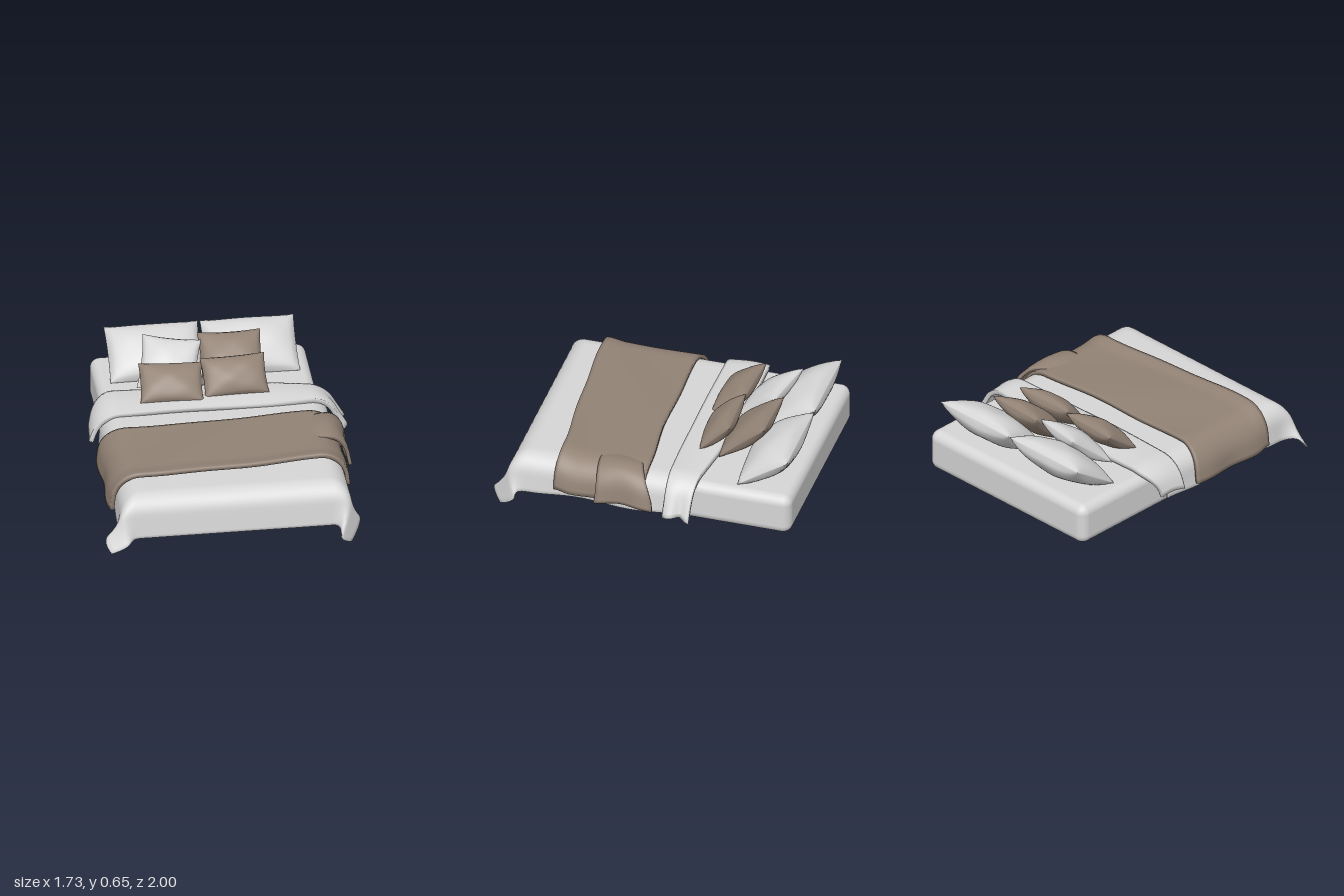
import * as THREE from 'three';
import { mergeVertices } from 'three/addons/utils/BufferGeometryUtils.js';
import { RoundedBoxGeometry } from 'three/addons/geometries/RoundedBoxGeometry.js';

const lerp = THREE.MathUtils.lerp;
const smooth = THREE.MathUtils.smoothstep;

// Shared vertices give smooth cloth normals
function soften(geo) {
  geo.deleteAttribute('uv');
  geo.deleteAttribute('normal');
  const merged = mergeVertices(geo, 1e-5);
  merged.computeVertexNormals();
  return merged;
}

// Cloth running flat to `flat`, rolling over an edge, then hanging at `angle`: returns [out, drop]
function drape(d, flat, r, angle) {
  const e = Math.abs(d) - flat;
  if (e <= 0) return [d, 0];
  const th = Math.min(e / r, angle);
  const rest = Math.max(0, e - r * angle);
  const out = flat + r * Math.sin(th) + rest * Math.cos(angle);
  return [Math.sign(d) * out, r * (1 - Math.cos(th)) + rest * Math.sin(angle)];
}

// Thick sheet following fn(u, v) with u, v in 0..1
function sheet(fn, thick, nu, nv) {
  const geo = new THREE.BoxGeometry(1, 1, 1, nu, 1, nv);
  const pos = geo.attributes.position;
  const at = (u, v) => new THREE.Vector3(...fn(u, v));
  const h = 0.002;
  for (let i = 0; i < pos.count; i++) {
    const u = pos.getX(i) + 0.5, v = pos.getZ(i) + 0.5;
    const du = at(u + h, v).sub(at(u - h, v));
    const dv = at(u, v + h).sub(at(u, v - h));
    const n = dv.cross(du).normalize();
    const p = at(u, v).addScaledVector(n, pos.getY(i) * thick);
    pos.setXYZ(i, p.x, Math.max(0, p.y), p.z);
  }
  return soften(geo);
}

// Stuffed cushion with pinched sides and a thin seam
function cushion(w, h, t, pinch, seed) {
  const geo = new THREE.BoxGeometry(2, 2, 2, 28, 28, 1);
  const pos = geo.attributes.position;
  for (let i = 0; i < pos.count; i++) {
    const a = pos.getX(i), b = pos.getY(i), s = pos.getZ(i);
    const fill = Math.pow(Math.max(0, (1 - a * a) * (1 - b * b)), 0.5);
    const crease = 1 + 0.05 * Math.sin(a * 5 + seed) * Math.sin(b * 4 + seed * 2);
    pos.setXYZ(i,
      a * w / 2 * (1 - pinch * (1 - b * b)),
      b * h / 2 * (1 - pinch * (1 - a * a)),
      s * (0.004 + t / 2 * fill * crease));
  }
  return soften(geo);
}

export function createModel() {
  const model = new THREE.Group();
  model.name = 'bed';
  const linen = new THREE.MeshStandardMaterial({ color: 0xd7d7d7 });
  linen.name = 'white linen';
  const taupe = new THREE.MeshStandardMaterial({ color: 0x938376 });
  taupe.name = 'taupe fabric';

  const add = (name, geo, mat) => {
    const mesh = new THREE.Mesh(geo, mat);
    mesh.name = name;
    model.add(mesh);
    return mesh;
  };

  // Mattress
  add('mattress', new RoundedBoxGeometry(1.405, 0.285, 1.81, 6, 0.065), linen)
    .position.set(-0.01, 0.24, -0.09);

  // Duvet: hangs at both sides and the foot; each corner spreads into a diagonal flap
  const corners = {
    left: { x: -0.035, xSpread: 0.28, z: 0.06, zSpread: -0.33, y: -0.025 },
    right: { x: 0.06, xSpread: 0.27, z: 0.065, zSpread: -0.13, y: 0.018 },
  };
  add('duvet', sheet((u, v) => {
    const s = lerp(-0.925, 0.925, u), t = lerp(-0.25, 1.1, v);
    const [x, dx] = drape(s, 0.62, 0.12, 1.48);
    const [z, dz] = drape(t, 0.76, 0.125, 1.45);
    const a = dx / 0.235, b = dz / 0.285;
    const c = s < 0 ? corners.right : corners.left;
    const ripple = 0.03 * dx * Math.sin(t * 9 + 1) * (1 - smooth(b, 0, 0.3));
    return [
      x + Math.sign(s) * (a * b * (c.x + c.xSpread * (a - b)) + ripple),
      0.393 - Math.hypot(dx, dz) + c.y * a * b - ripple,
      z + a * b * (c.z + c.zSpread * (a - b))];
  }, 0.012, 80, 72), linen);

  // Turned-down top of the duvet
  add('duvetFold', sheet((u, v) => {
    const s = lerp(-0.9, 0.96, u);
    const [x, d] = drape(s, 0.62, 0.17, s > 0 ? 1.12 : 1.3);
    const back = -0.45 + 0.09 * smooth(s, 0, 0.9) + 0.1 * smooth(-s, 0.66, 0.9);
    const front = -0.165 - 0.02 * smooth(s, 0.3, 0.9);
    const wave = s > 0 ? 0.08 * Math.cos(v * 8) : 0.1 * (v - 0.5);
    return [
      x + Math.sign(s) * wave * d,
      0.412 - d + 0.012 * Math.sin(v * Math.PI) + 0.005 * Math.sin(s * 6 + v * 3),
      lerp(back, front, v)];
  }, 0.03, 64, 18), linen);

  // Throw blanket across the foot half
  add('throwBlanket', sheet((u, v) => {
    const s = lerp(-0.94, 0.91, u);
    const [x, d] = drape(s, s > 0 ? 0.585 : 0.595, 0.18, 1.45);
    const back = 0.02 - 0.05 * smooth(s, -0.2, 0.8) - 0.03 * smooth(-s, 0.6, 0.9);
    const front = 0.645 - 0.08 * smooth(s, -0.5, 0.7);
    const ripple = 0.035 * d * Math.sin(v * 10);
    return [
      x + Math.sign(s) * ripple,
      0.422 - d + 0.016 * smooth(v, 0.8, 1) + 0.004 * Math.sin(s * 5 + v * 4),
      lerp(back, front, v) + 0.006 * Math.sin(s * 9)];
  }, 0.026, 64, 28), taupe);

  // Gathered flap of the throw on the left side, rising out of the blanket
  add('throwFlap', sheet((u, v) => {
    const s = lerp(0.42, 0.94, u);
    const [x, d] = drape(s, 0.6, 0.18, 1.42);
    const lift = smooth(u, 0.05, 0.6);
    const back = 0.03 - 0.13 * smooth(u, 0.2, 1);
    return [
      x + 0.02 * lift + 0.04 * d * Math.sin(v * 8),
      0.4 + lift * (0.02 + 0.03 * Math.sin(Math.PI * (0.1 + 0.8 * v))) - d,
      lerp(back, 0.29 + 0.01 * Math.sin(u * 6), v)];
  }, 0.024, 26, 16), taupe);

  // Cushions: width, height, thickness, pinch, position, lean, yaw, roll
  const cushions = [
    ['rightSleepingPillow', linen, 0.61, 0.4, 0.21, 0.02, -0.315, 0.495, -0.785, -0.98, 0, 0],
    ['leftSleepingPillow', linen, 0.61, 0.4, 0.21, 0.02, 0.31, 0.495, -0.785, -0.98, 0, 0],
    ['whiteCushion', linen, 0.38, 0.37, 0.14, 0.06, -0.245, 0.522, -0.58, -0.88, -0.14, -0.1],
    ['taupeCushion', taupe, 0.41, 0.4, 0.16, 0.05, 0.16, 0.523, -0.575, -0.86, -0.04, 0.02],
    ['rightLumbarCushion', taupe, 0.41, 0.28, 0.14, 0.04, -0.26, 0.51, -0.365, -0.94, -0.04, -0.02],
    ['leftLumbarCushion', taupe, 0.42, 0.27, 0.14, 0.04, 0.155, 0.523, -0.38, -0.8, 0.02, 0.02],
  ];
  cushions.forEach(([name, mat, w, h, t, pinch, x, y, z, lean, yaw, roll], i) => {
    const mesh = add(name, cushion(w, h, t, pinch, i + 1), mat);
    mesh.position.set(x, y, z);
    mesh.rotation.set(lean, yaw, roll, 'YXZ');
  });

  return model;
}
